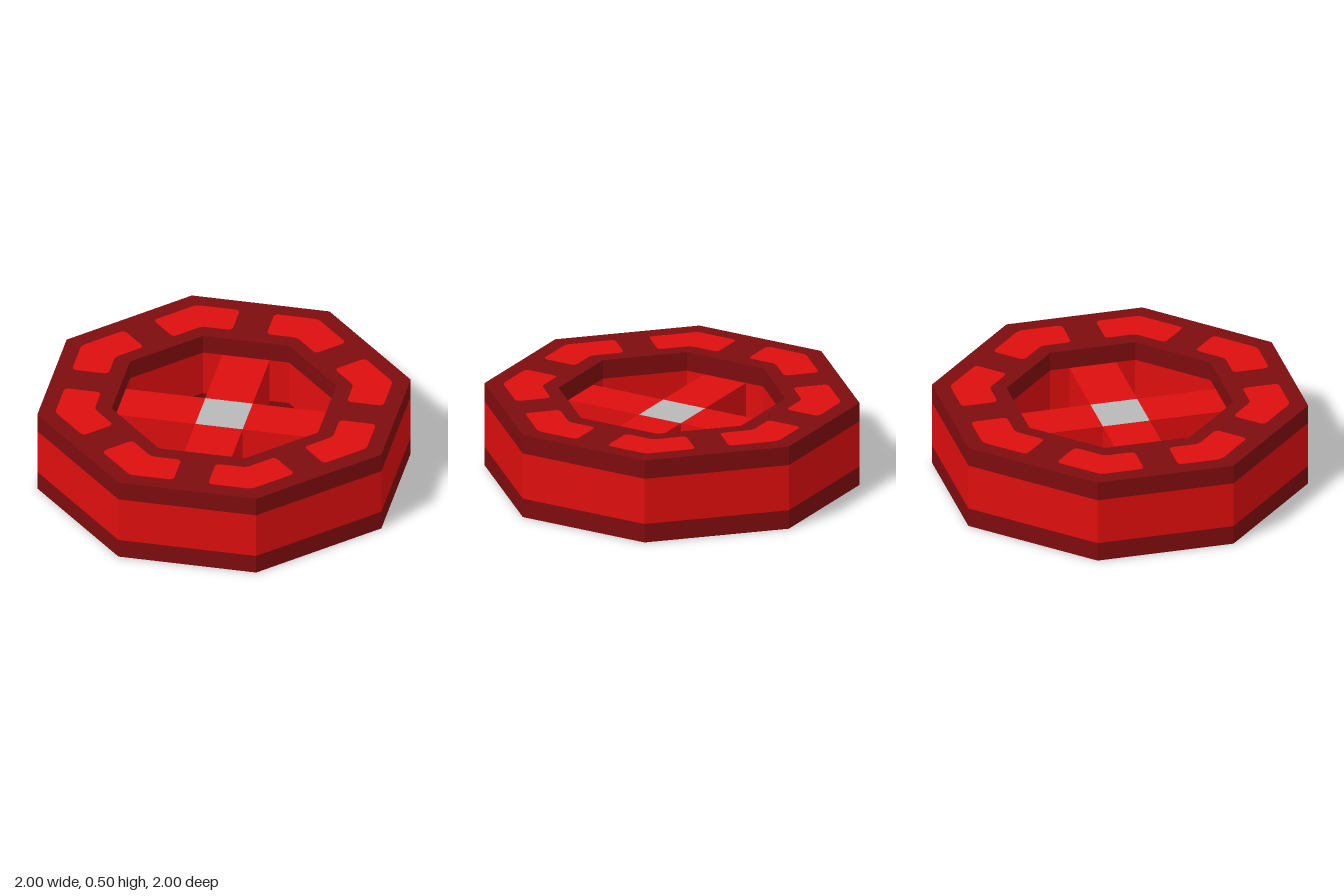
import * as THREE from 'three';

const material = (name, color) => {
  const m = new THREE.MeshStandardMaterial({ color });
  m.name = name;
  return m;
};

// Corners of an eight-sided outline: flat sides at distance r, ending at +-c
const octagon = (r, c) => [
  [c, r], [-c, r], [-r, c], [-r, -c], [-c, -r], [c, -r], [r, -c], [r, c],
].map(([x, y]) => new THREE.Vector2(x, y));

// Closed outline with every corner rounded by distance d
function roundedShape(points, d) {
  const shape = new THREE.Shape();
  points.forEach((p, i) => {
    const prev = points[(i + points.length - 1) % points.length];
    const next = points[(i + 1) % points.length];
    const a = p.clone().add(prev.clone().sub(p).setLength(d));
    const b = p.clone().add(next.clone().sub(p).setLength(d));
    if (i === 0) shape.moveTo(a.x, a.y);
    else shape.lineTo(a.x, a.y);
    shape.quadraticCurveTo(p.x, p.y, b.x, b.y);
  });
  shape.closePath();
  return shape;
}

// Upright slab of a flat outline between two heights
function slab(shape, y0, y1) {
  const g = new THREE.ExtrudeGeometry(shape, { depth: y1 - y0, bevelEnabled: false, curveSegments: 5 });
  return g.rotateX(-Math.PI / 2).translate(0, y0, 0);
}

export function createModel() {
  const model = new THREE.Group();
  model.name = 'octagonalWheel';
  const red = material('bright red', 0xdd0e0e);
  const dark = material('dark red', 0x7e0c0e);
  const grey = material('grey', 0xb8b8b8);

  const add = (name, geometry, mat) => {
    const mesh = new THREE.Mesh(geometry, mat);
    mesh.name = name;
    model.add(mesh);
    return mesh;
  };

  const height = 0.5, low = 0.1125, high = 0.3875, mid = height / 2;

  // Ring in three stacked bands
  const ring = new THREE.Shape(octagon(1, 0.4));
  ring.holes.push(new THREE.Path(octagon(0.6, 0.25).reverse()));
  add('lowerRim', slab(ring, 0, low), dark);
  add('middleBand', slab(ring, low, high), red);
  add('upperRim', slab(ring, high, height), dark);

  // Hub block and four square spokes
  const w = high - low, reach = 0.6 - w / 2;
  add('hub', new THREE.BoxGeometry(w, w, w).translate(0, mid, 0), grey);
  for (let i = 0; i < 4; i++) {
    const spoke = new THREE.BoxGeometry(reach, w, w).translate(w / 2 + reach / 2, mid, 0);
    add('spoke', spoke, red).rotation.y = i * Math.PI / 2;
  }

  // Bent inlays on the top and bottom of the ring, mirrored in pairs per side
  const bent = [[0.1, 0.905], [0.355, 0.905], [0.56, 0.7], [0.415, 0.555], [0.277, 0.693], [0.1, 0.693]];
  const t = 0.002;
  for (const side of [1, -1]) {
    const shape = roundedShape(bent.map(([x, y]) => new THREE.Vector2(side * x, y)), 0.03);
    for (let i = 0; i < 4; i++) {
      add('topInlay', slab(shape, height - t, height + t), red).rotation.y = i * Math.PI / 2;
      add('bottomInlay', slab(shape, -t, t), red).rotation.y = i * Math.PI / 2;
    }
  }
  return model;
}
